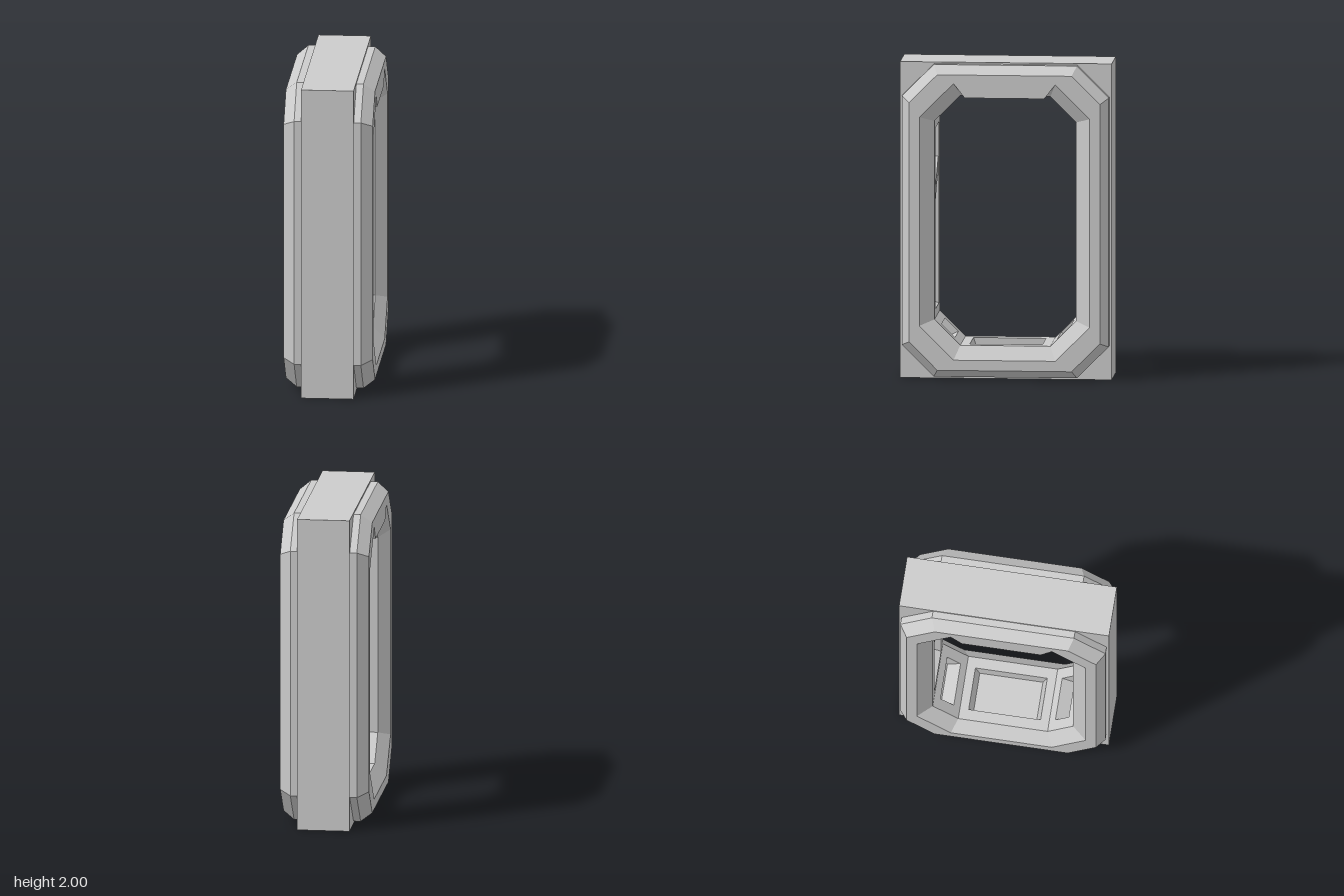
import * as THREE from 'three';

const material = new THREE.MeshStandardMaterial({ color: 0xcccccc, flatShading: true });

// Chamfered rectangle in (z, y), running from the +z side over the top to -z
function octagon(hz, y0, y1, c) {
  return [
    [hz, y0 + c], [hz, y1 - c], [hz - c, y1], [c - hz, y1],
    [-hz, y1 - c], [-hz, y0 + c], [c - hz, y0], [hz - c, y0],
  ];
}

const OUTER = octagon(0.65, 0.015, 1.99, 0.2);
const FACE = octagon(0.6, 0.065, 1.935, 0.178);
const MID = octagon(0.535, 0.13, 1.88, 0.215);
const INNER = octagon(0.445, 0.215, 1.795, 0.162);

function toShape(points) {
  return new THREE.Shape(points.map(([a, b]) => new THREE.Vector2(a, b)));
}

// Extrudes a (z, y) shape along x, centred on the given x
function extrudeX(shape, width, x = 0) {
  const g = new THREE.ExtrudeGeometry(shape, { depth: width, bevelEnabled: false });
  g.translate(0, 0, -width / 2);
  g.rotateY(-Math.PI / 2);
  g.translate(x, 0, 0);
  return g;
}

// Closed bevelled ring lofted through octagons at successive x positions
function ringGeometry() {
  const sections = [
    [0.14, MID], [0.14, INNER], [0.21, INNER], [0.28, MID],
    [0.28, FACE], [0.21, OUTER], [0.14, OUTER],
  ];
  const n = 8;
  const positions = [];
  const index = [];
  for (const [x, loop] of sections) {
    for (const [z, y] of loop) positions.push(x, y, z);
  }
  for (let i = 0; i < sections.length - 1; i++) {
    for (let j = 0; j < n; j++) {
      const k = (j + 1) % n;
      const a = i * n + j, b = a + n, c = i * n + k, d = c + n;
      index.push(a, c, b, b, c, d);
    }
  }
  const indexed = new THREE.BufferGeometry();
  indexed.setAttribute('position', new THREE.Float32BufferAttribute(positions, 3));
  indexed.setIndex(index);
  const g = indexed.toNonIndexed();
  g.computeVertexNormals();
  return g;
}

// Point a fixed distance from p towards q
function along(p, q, distance) {
  const dx = q[0] - p[0], dy = q[1] - p[1];
  const t = distance / Math.hypot(dx, dy);
  return [p[0] + dx * t, p[1] + dy * t];
}

export function createModel() {
  const group = new THREE.Group();
  function add(name, geometry) {
    const mesh = new THREE.Mesh(geometry, material);
    mesh.name = name;
    group.add(mesh);
    return mesh;
  }

  // Rectangular core with the octagonal opening; its hole wall is the panel floor
  const core = toShape([[-0.665, 0], [0.665, 0], [0.665, 2], [-0.665, 2]]);
  core.holes.push(new THREE.Path(MID.map(([z, y]) => new THREE.Vector2(z, y))));
  add('frameCore', extrudeX(core, 0.33));

  // Bevelled rings on both faces
  const ring = ringGeometry();
  add('leftRing', ring);
  add('rightRing', ring).rotation.y = Math.PI;

  // Cross bars in the recess at every corner of the opening
  for (let j = 0; j < 8; j++) {
    const next = (j + 1) % 8, prev = (j + 7) % 8;
    const bar = toShape([
      along(MID[j], MID[prev], 0.12), MID[j], along(MID[j], MID[next], 0.12),
      along(INNER[j], INNER[next], 0.055), INNER[j], along(INNER[j], INNER[prev], 0.055),
    ]);
    add('cornerBar', extrudeX(bar, 0.28));
  }

  // Slanted brace across each side recess
  const brace = toShape([[-0.14, 1.27], [0.14, 1.05], [0.14, 1.14], [-0.14, 1.36]]);
  for (const z of [-0.535, 0.45]) {
    const g = new THREE.ExtrudeGeometry(brace, { depth: 0.085, bevelEnabled: false });
    g.translate(0, 0, z);
    add('slantedBrace', g);
  }

  // Header rails with sloped ends under the top of the opening
  const rail = toShape([[-0.25, 1.79], [0.25, 1.79], [0.32, 1.88], [-0.32, 1.88]]);
  for (const side of [-1, 1]) add('headerRail', extrudeX(rail, 0.14, side * 0.21));

  return group;
}
